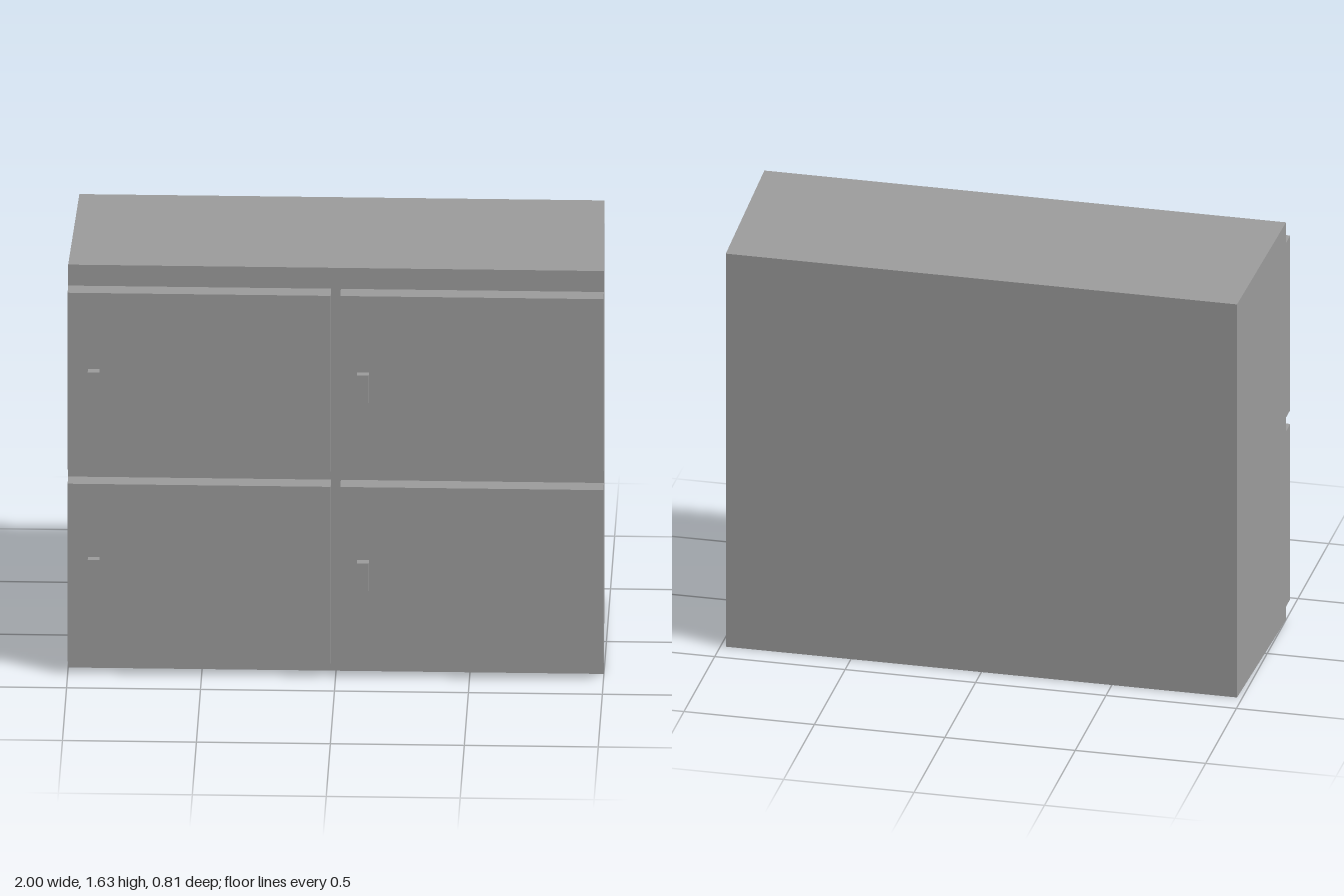
import * as THREE from 'three';

const material = new THREE.MeshStandardMaterial({ color: 0x9b9b9b, flatShading: true });

// Box given by its minimum and maximum corners
function box(name, [x0, y0, z0], [x1, y1, z1]) {
  const geometry = new THREE.BoxGeometry(x1 - x0, y1 - y0, z1 - z0);
  geometry.translate((x0 + x1) / 2, (y0 + y1) / 2, (z0 + z1) / 2);
  const mesh = new THREE.Mesh(geometry, material);
  mesh.name = name;
  return mesh;
}

export function createModel() {
  const group = new THREE.Group();
  group.name = 'cabinet';
  const back = -0.405, bodyFront = 0.307, doorFront = 0.375, handleFront = 0.405;

  // Cabinet body, narrowing slightly toward the back
  const body = box('body', [-1, 0, back], [1, 1.635, bodyFront]);
  const p = body.geometry.attributes.position;
  for (let i = 0; i < p.count; i++) {
    if (p.getZ(i) > 0) continue;
    p.setX(i, p.getX(i) * 0.98);
    if (p.getY(i) > 1) p.setY(i, 1.617);
  }
  body.geometry.computeVertexNormals();
  group.add(body);

  // Two rows of two doors, each with a handle near its right edge
  const columns = [
    { side: 'right', x0: -1, x1: -0.018, handle: -0.924 },
    { side: 'left', x0: 0.018, x1: 1, handle: 0.081 },
  ];
  const rows = [
    { level: 'lower', y0: 0.054, y1: 0.775, handle: 0.366 },
    { level: 'upper', y0: 0.832, y1: 1.55, handle: 1.128 },
  ];
  for (const c of columns) {
    for (const r of rows) {
      const label = `${r.level} ${c.side}`;
      group.add(
        box(`${label} door`, [c.x0, r.y0, bodyFront], [c.x1, r.y1, doorFront]),
        box(`${label} handle`, [c.handle, r.handle, doorFront], [c.handle + 0.044, r.handle + 0.113, handleFront]),
      );
    }
  }
  return group;
}
